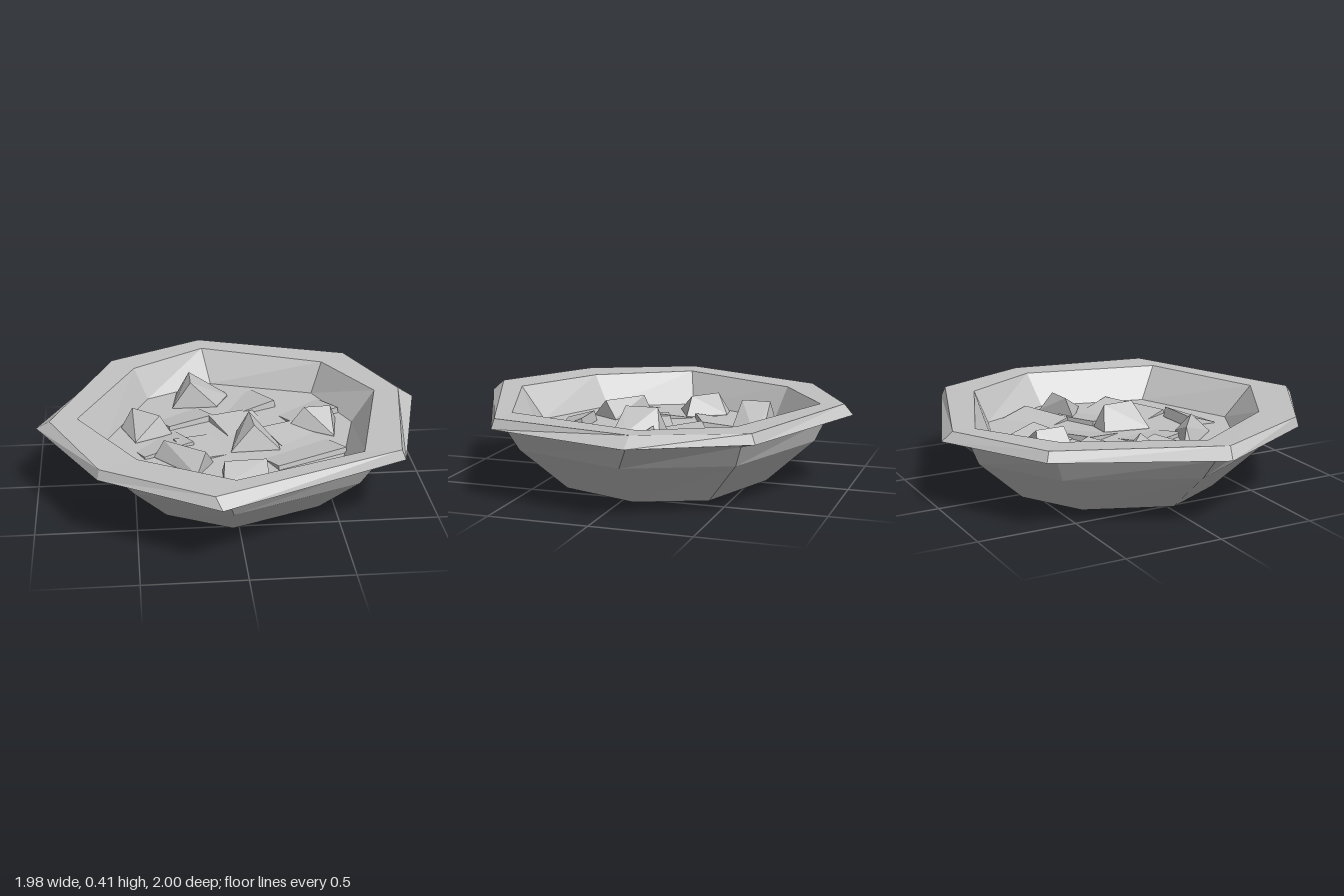
import * as THREE from 'three';
import { ConvexGeometry } from 'three/addons/geometries/ConvexGeometry.js';

// Eight-cornered rings [height, corners as x, z], running clockwise from above
const RINGS = [
  [0, [-0.04, -0.57, 0.42, -0.40, 0.56, -0.06, 0.42, 0.34, -0.03, 0.52, -0.35, 0.36, -0.52, 0.03, -0.35, -0.39]],
  [0.22, [-0.07, -0.81, 0.56, -0.57, 0.78, -0.07, 0.59, 0.52, -0.05, 0.78, -0.51, 0.53, -0.77, 0.04, -0.49, -0.56]],
  [0.33, [-0.09, -0.86, 0.62, -0.61, 0.86, -0.13, 0.65, 0.56, -0.08, 0.87, -0.56, 0.58, -0.86, 0.05, -0.54, -0.61]],
  [0.365, [-0.08, -1.0, 0.71, -0.70, 0.99, -0.17, 0.80, 0.57, -0.12, 1.0, -0.68, 0.65, -0.99, 0.06, -0.62, -0.70]],
  [0.415, [-0.10, -0.95, 0.70, -0.68, 0.91, -0.17, 0.78, 0.56, -0.15, 0.95, -0.67, 0.64, -0.92, 0.09, -0.60, -0.68]],
  [0.41, [-0.09, -0.83, 0.56, -0.57, 0.78, -0.16, 0.60, 0.55, -0.04, 0.79, -0.49, 0.54, -0.78, 0.06, -0.48, -0.57]],
  [0.245, [-0.05, -0.70, 0.50, -0.52, 0.66, -0.13, 0.51, 0.43, -0.01, 0.65, -0.44, 0.45, -0.65, 0.01, -0.41, -0.52]],
];

// Loose shards: footprint corners and raised points, all as x, z pairs
const SHARDS = [
  { base: [-0.28, -0.38, -0.25, -0.57, 0.02, -0.56, 0.03, -0.52, -0.04, -0.38], top: [-0.18, -0.40, -0.18, -0.55], h: 0.385 },
  { base: [-0.56, -0.16, -0.51, -0.24, -0.42, -0.25, -0.30, -0.06, -0.49, 0.03], top: [-0.50, -0.18, -0.36, -0.07], h: 0.35 },
  { base: [0.32, -0.10, 0.58, -0.18, 0.54, 0.04], top: [0.40, -0.11, 0.54, -0.12], h: 0.35 },
  { base: [-0.01, 0.18, 0.04, -0.06, 0.16, -0.06, 0.24, 0.11, 0.24, 0.17], top: [0.11, 0.14, 0.10, -0.03], h: 0.375 },
  { base: [-0.40, 0.20, -0.38, 0.17, -0.11, 0.28, -0.20, 0.43], top: [-0.35, 0.20, -0.15, 0.35], h: 0.34 },
  { base: [-0.08, 0.54, -0.07, 0.37, 0.15, 0.36, 0.15, 0.49], top: [-0.06, 0.38, 0.15, 0.37], h: 0.30 },
];

// Tilted floor slabs: x, z, width, lean to the left, lean to the back
const SLABS = [
  [-0.24, -0.27, 0.26, 0.10, 0.14],
  [0.10, -0.41, 0.28, 0.16, 0.08],
  [0.07, -0.15, 0.26, -0.12, -0.10],
  [0.42, -0.30, 0.30, 0.10, 0.12],
  [-0.37, 0.05, 0.28, 0.12, 0.10],
  [0.34, 0.20, 0.40, 0.08, 0.14],
  [0.34, 0.00, 0.26, -0.08, -0.10],
  [-0.12, 0.10, 0.28, -0.10, 0.02],
];

// Faceted wall through the rings, closed by a flat underside and a floor
function bowlGeometry() {
  const pos = [];
  const last = RINGS.length - 1;
  const corner = (k, i) => [RINGS[k][1][(i % 8) * 2], RINGS[k][0], RINGS[k][1][(i % 8) * 2 + 1]];
  for (let k = 0; k < last; k++) {
    for (let i = 0; i < 8; i++) {
      const a = corner(k, i), b = corner(k, i + 1), c = corner(k + 1, i + 1), d = corner(k + 1, i);
      pos.push(...b, ...a, ...d, ...b, ...d, ...c);
    }
  }
  for (let i = 1; i < 7; i++) {
    pos.push(...corner(0, 0), ...corner(0, i), ...corner(0, i + 1));
    pos.push(...corner(last, 0), ...corner(last, i + 1), ...corner(last, i));
  }
  const g = new THREE.BufferGeometry();
  g.setAttribute('position', new THREE.Float32BufferAttribute(pos, 3));
  g.computeVertexNormals();
  return g;
}

// A sunken paving slab whose upper face just breaks through the floor
function slabGeometry([x, z, width, left, back]) {
  return new THREE.BoxGeometry(width, 0.05, 0.25)
    .rotateY(0.42).rotateZ(left).rotateX(-back)
    .translate(x, 0.226, z);
}

// A broken stone: a short buried foot below the footprint, rising to a ridge
function shardGeometry({ base, top, h }) {
  const pts = [];
  const add = (list, y) => {
    for (let i = 0; i < list.length; i += 2) pts.push(new THREE.Vector3(list[i], y, list[i + 1]));
  };
  add(base, 0.22);
  add(base, 0.25);
  add(top, h);
  return new ConvexGeometry(pts);
}

export function createModel() {
  const model = new THREE.Group();
  model.name = 'stoneBasin';
  const stone = new THREE.MeshStandardMaterial({ color: 0xc2c2c2, flatShading: true });
  stone.name = 'pale grey stone';
  const add = (name, geometry) => {
    const mesh = new THREE.Mesh(geometry, stone);
    mesh.name = name;
    model.add(mesh);
  };
  add('bowl', bowlGeometry());
  SLABS.forEach((s, i) => add('floorSlab' + (i + 1), slabGeometry(s)));
  SHARDS.forEach((s, i) => add('shard' + (i + 1), shardGeometry(s)));
  return model;
}
